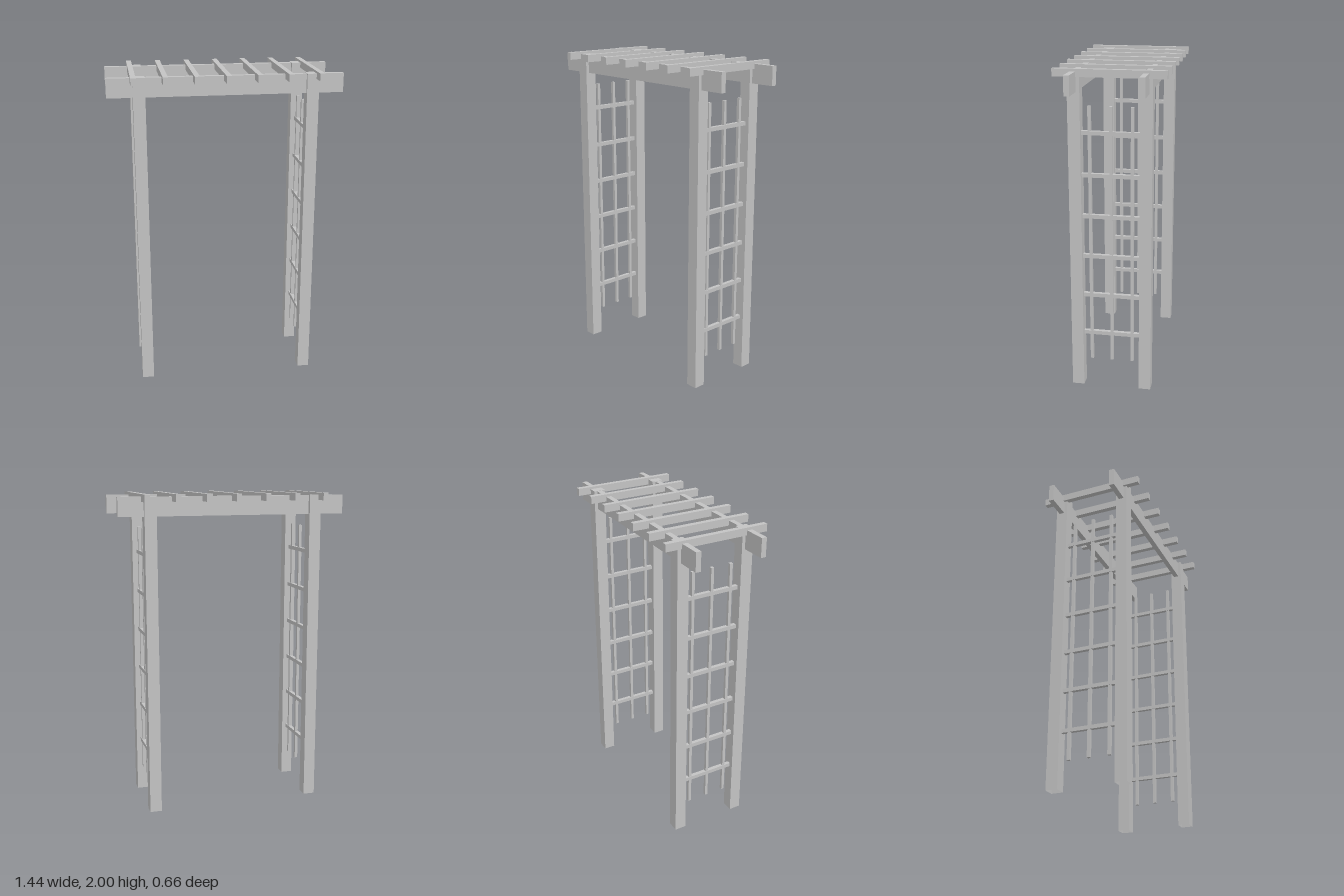
import * as THREE from 'three';

// Double sided because the posts are open at the foot
const timber = new THREE.MeshStandardMaterial({ color: 0xc3c3c3, side: THREE.DoubleSide });
timber.name = 'light grey timber';

function addBox(parent, name, size, position) {
  const mesh = new THREE.Mesh(new THREE.BoxGeometry(...size), timber);
  mesh.name = name;
  mesh.position.set(...position);
  parent.add(mesh);
  return mesh;
}

export function createModel() {
  const arbor = new THREE.Group();
  arbor.name = 'gardenArbor';

  const postX = 0.525, postZ = 0.2115, postWidth = 0.074, postHeight = 1.986;

  // Four square posts, open at the foot
  for (const sx of [-1, 1]) {
    for (const sz of [-1, 1]) {
      const post = addBox(arbor, 'post', [postWidth, postHeight, postWidth],
        [sx * postX, postHeight / 2, sz * postZ]);
      const index = Array.from(post.geometry.index.array);
      index.splice(18, 6); // drop the underside
      post.geometry.setIndex(index);
      post.geometry.clearGroups();
    }
  }

  // Two long beams running through the post tops
  for (const sz of [-1, 1]) {
    addBox(arbor, 'beam', [1.436, 0.117, 0.033], [0, 1.9255, sz * postZ]);
  }

  // Seven rafters notched over the beams
  for (let i = -3; i <= 3; i++) {
    addBox(arbor, 'rafter', [0.032, 0.046, 0.662], [i * 0.1867, 1.977, 0]);
  }

  // A trellis on each side, between the posts
  for (const sx of [-1, 1]) {
    const trellis = new THREE.Group();
    trellis.name = sx > 0 ? 'leftTrellis' : 'rightTrellis';
    trellis.position.x = sx * 0.524;
    for (let i = 0; i < 6; i++) {
      addBox(trellis, 'rung', [0.024, 0.024, 0.354], [0, 0.353 + i * 0.2543, 0]);
    }
    for (let i = -1; i <= 1; i++) {
      addBox(trellis, 'slat', [0.019, 1.61, 0.019], [0, 0.978, i * 0.127]);
    }
    arbor.add(trellis);
  }

  return arbor;
}
